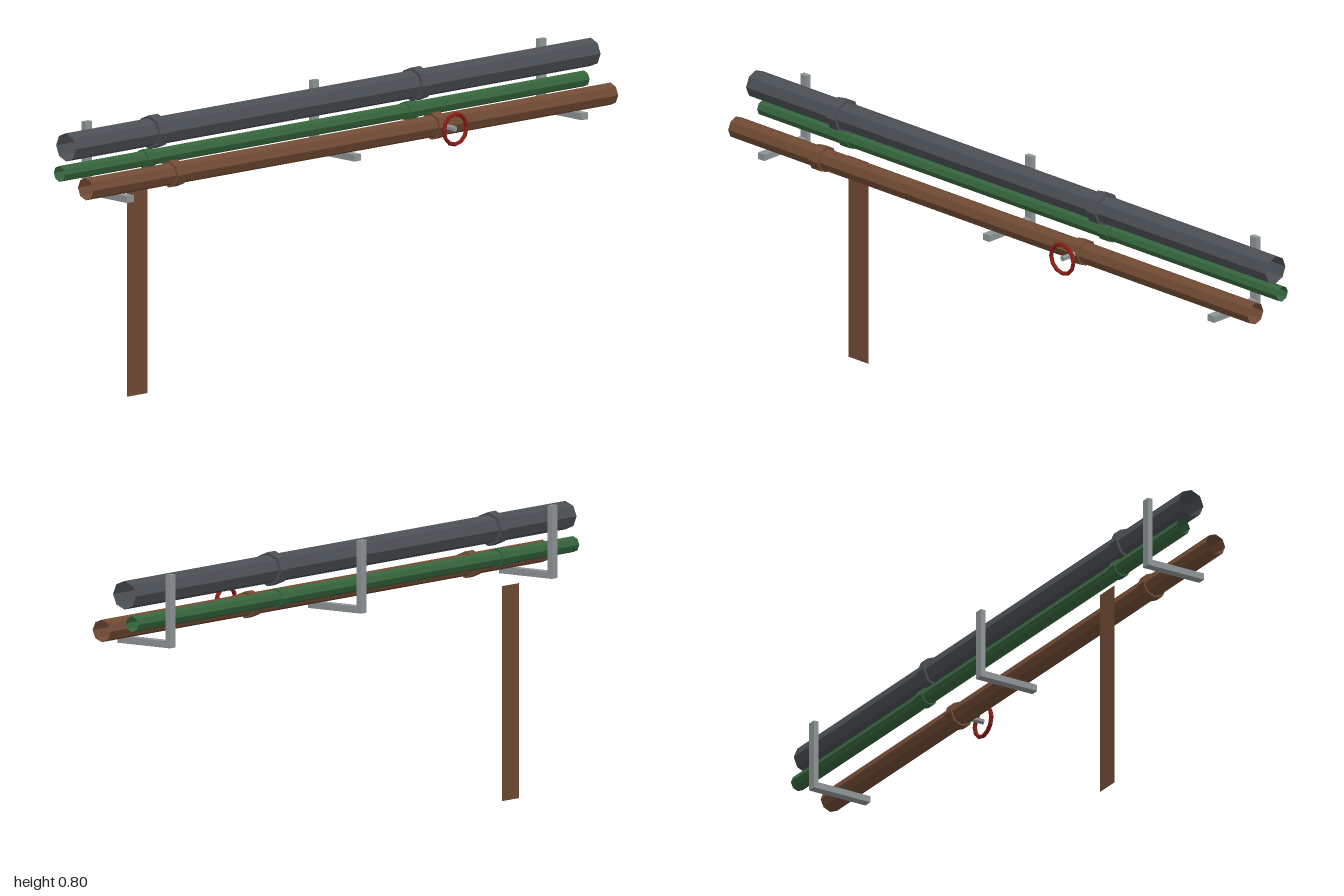
import * as THREE from 'three';

const material = (name, color, side = THREE.FrontSide) => {
  const m = new THREE.MeshStandardMaterial({ color, side, flatShading: true });
  m.name = name;
  return m;
};

export function createModel() {
  const model = new THREE.Group();
  model.name = 'pipeRack';

  const steel = material('dark steel', 0x4a4f54, THREE.DoubleSide);
  const rust = material('rust brown', 0x704a33, THREE.DoubleSide);
  const green = material('pipe green', 0x35643c, THREE.DoubleSide);
  const bracketGrey = material('bracket grey', 0x8f9597);
  const red = material('valve red', 0x8a1c14);

  const add = (parent, name, geometry, mat, x, y, z) => {
    const mesh = new THREE.Mesh(geometry, mat);
    mesh.name = name;
    mesh.position.set(x, y, z);
    parent.add(mesh);
    return mesh;
  };

  // Open octagonal pipes, each with two solid collars
  const pipes = [
    ['largePipe', steel, 0.04, 0.755, -0.049],
    ['rustyPipe', rust, 0.0315, 0.648, 0.031],
    ['smallPipe', green, 0.0225, 0.676, -0.076],
  ];
  for (const [name, mat, r, y, z] of pipes) {
    const group = new THREE.Group();
    group.name = name;
    model.add(group);
    const tube = new THREE.CylinderGeometry(r, r, 2, 8, 1, true).rotateZ(Math.PI / 2);
    add(group, 'tube', tube, mat, 0, y, z);
    for (const x of [-0.667, 0.333]) {
      const collar = new THREE.CylinderGeometry(r * 1.2, r * 1.2, 0.034, 8).rotateZ(Math.PI / 2);
      add(group, 'collar', collar, mat, x, y, z);
    }
  }

  // L-shaped wall brackets
  for (const x of [-0.866, 0, 0.866]) {
    const bracket = new THREE.Group();
    bracket.name = 'bracket';
    model.add(bracket);
    add(bracket, 'upright', new THREE.BoxGeometry(0.025, 0.205, 0.015), bracketGrey, x, 0.7005, -0.1075);
    add(bracket, 'arm', new THREE.BoxGeometry(0.025, 0.019, 0.185), bracketGrey, x, 0.6075, -0.0225);
  }

  // Valve stem and handwheel on the rusty pipe
  const valve = new THREE.Group();
  valve.name = 'valve';
  model.add(valve);
  const stem = new THREE.CylinderGeometry(0.0085, 0.0085, 0.08, 6).rotateX(Math.PI / 2);
  add(valve, 'stem', stem, bracketGrey, 0.333, 0.65, 0.071);
  add(valve, 'handwheel', new THREE.TorusGeometry(0.043, 0.006, 6, 12), red, 0.333, 0.649, 0.111);

  // Flat rust streak running down the wall
  add(model, 'rustStreak', new THREE.PlaneGeometry(0.077, 0.603), rust, -0.667, 0.3015, -0.114);

  return model;
}
